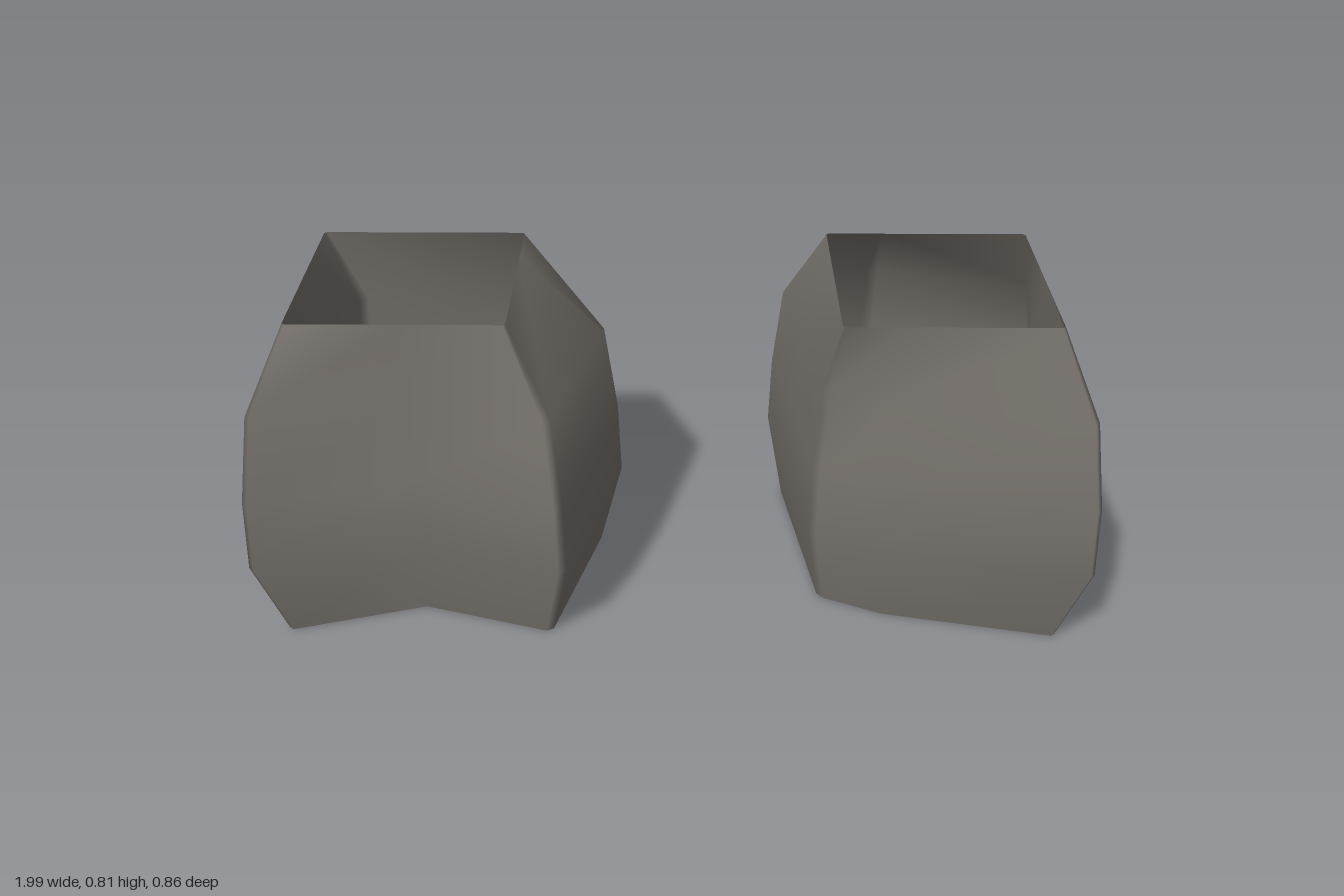
import * as THREE from 'three';

// Plan of the shell at its widest: [x, z, softened corner?], counter-clockwise from above
const BELLY = [
  [-0.435, 0.425, 1], [-0.055, 0.312, 0], [0.315, 0.425, 1], [0.437, -0.05, 1],
  [0.305, -0.318, 1], [0.02, -0.277, 0], [-0.255, -0.238, 1], [-0.335, -0.06, 0],
];
// Square opening at the top, matched corner for corner
const RIM = [
  [-0.305, 0.302, 1], [-0.055, 0.302, 0], [0.195, 0.302, 1], [0.195, -0.05, 1],
  [0.195, -0.193, 1], [-0.03, -0.193, 0], [-0.305, -0.193, 1], [-0.305, -0.06, 0],
];
// [height, scale of the belly plan]
const LEVELS = [[0, 0.867], [0.22, 1], [0.4, 0.985], [0.615, 0.918]];
const TOP = 0.813;

// Replaces each softened corner by two points a short way along its edges
function soften(plan, size) {
  const out = [];
  plan.forEach(([x, z, soft], i) => {
    if (!soft) return out.push([x, z]);
    for (const step of [-1, 1]) {
      const [nx, nz] = plan[(i + step + plan.length) % plan.length];
      const t = size / Math.hypot(nx - x, nz - z);
      out.push([x + (nx - x) * t, z + (nz - z) * t]);
    }
  });
  return out;
}

// Open-ended wall lofted through the rings
function shellGeometry() {
  const belly = soften(BELLY, 0.016);
  const rings = LEVELS.map(([y, s]) => belly.map(([x, z]) => [x * s, y, z * s]));
  rings.push(soften(RIM, 0.006).map(([x, z]) => [x, TOP, z]));
  const n = belly.length;
  const index = [];
  for (let j = 0; j < rings.length - 1; j++) {
    for (let i = 0; i < n; i++) {
      const a = j * n + i;
      const b = j * n + (i + 1) % n;
      index.push(a, b, b + n, a, b + n, a + n);
    }
  }
  const geometry = new THREE.BufferGeometry();
  geometry.setAttribute('position', new THREE.Float32BufferAttribute(rings.flat(2), 3));
  geometry.setIndex(index);
  geometry.computeVertexNormals();
  return geometry;
}

export function createModel() {
  const group = new THREE.Group();
  group.name = 'pairOfShells';
  const material = new THREE.MeshStandardMaterial({ color: 0x77726c, side: THREE.DoubleSide });
  material.name = 'warmGrey';
  const geometry = shellGeometry();

  // The same shell twice, the second given a quarter turn
  const rightShell = new THREE.Mesh(geometry, material);
  rightShell.name = 'rightShell';
  rightShell.position.x = -0.565;

  const leftShell = new THREE.Mesh(geometry, material);
  leftShell.name = 'leftShell';
  leftShell.position.x = 0.575;
  leftShell.rotation.y = Math.PI / 2;

  group.add(rightShell, leftShell);
  return group;
}
